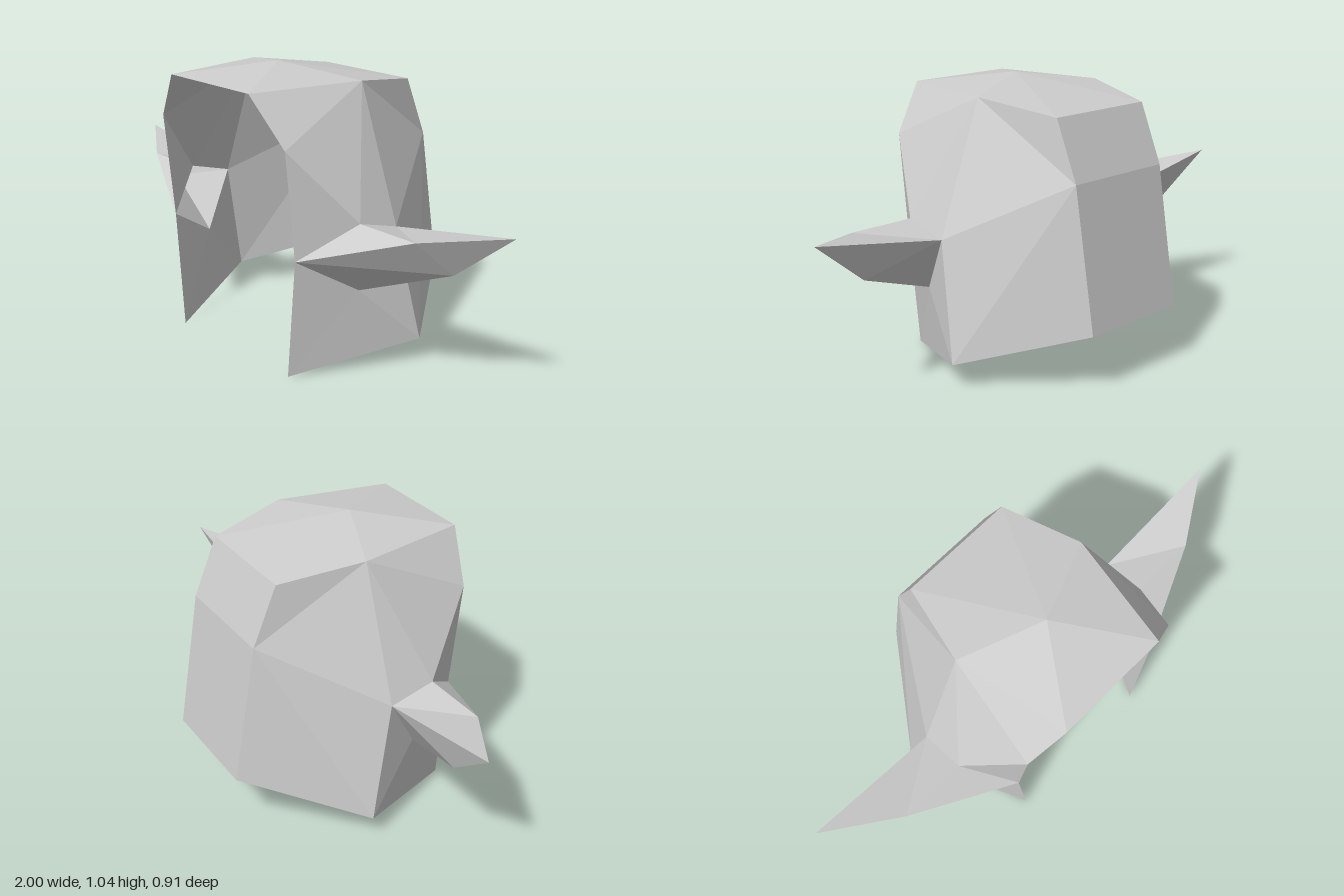
import * as THREE from 'three';

// Corner points of the left (+x) half
const P = {
  crown: [0, 1.045, 0.15],
  topFront: [0.22, 1.0, 0.455],
  topSide: [0.3, 1.0, 0.025],
  topBack: [0.22, 0.957, -0.28],
  back: [0.22, 0.74, -0.37],
  nape: [0.22, 0.22, -0.455],
  temple: [0.35, 0.825, 0.41],
  earTop: [0.48, 0.565, 0.195],
  earFront: [0.35, 0.435, 0.37],
  earBack: [0.48, 0.52, 0.025],
  earLow: [0.435, 0.305, 0.155],
  cheekFront: [0.31, 0, 0.37],
  cheekBack: [0.52, 0.09, -0.065],
  wingTop: [0.735, 0.565, 0.195],
  wingLow: [0.785, 0.437, 0.065],
  tip: [1, 0.61, 0.025],
};

// Builds flat triangles from named corners, each turned away from a centre;
// '-' before a name means the mirrored corner
function facets(faces, centre, side) {
  const c = new THREE.Vector3(...centre);
  c.x *= side;
  const pts = [];
  for (const face of faces) {
    const [a, b, d] = face.split(' ').map((n) => {
      const flip = n.startsWith('-');
      const [x, y, z] = P[flip ? n.slice(1) : n];
      return new THREE.Vector3(x * side * (flip ? -1 : 1), y, z);
    });
    const normal = b.clone().sub(a).cross(d.clone().sub(a));
    pts.push(...(normal.dot(a.clone().sub(c)) < 0 ? [a, d, b] : [a, b, d]));
  }
  const geo = new THREE.BufferGeometry().setFromPoints(pts);
  geo.computeVertexNormals();
  return geo;
}

const topFaces = [
  'topFront -topFront crown',
  'topBack -topBack crown',
  'topBack -topBack -back',
  'topBack -back back',
  'back -back -nape',
  'back -nape nape',
];

const sideFaces = [
  'topFront topSide crown',
  'topSide topBack crown',
  'topFront temple topSide',
  'temple earTop topSide',
  'topSide earTop earBack',
  'temple earFront earTop',
  'topSide topBack back',
  'topSide back earBack',
  'earBack back cheekBack',
  'back nape cheekBack',
  'earFront cheekFront earLow',
  'cheekFront cheekBack earLow',
  'cheekBack earBack earLow',
];

// The wing is hollow and open towards the inside of the shell
const wingFaces = [
  'earTop wingTop earFront',
  'earFront wingTop wingLow',
  'wingTop tip wingLow',
  'earTop earBack wingTop',
  'earBack tip wingTop',
  'earBack wingLow tip',
  'earBack earLow wingLow',
  'earFront wingLow earLow',
];

export function createModel() {
  const group = new THREE.Group();
  const grey = new THREE.MeshStandardMaterial({ color: 0xcccccc, flatShading: true, side: THREE.DoubleSide });
  grey.name = 'light grey';

  const add = (name, faces, centre, side) => {
    const mesh = new THREE.Mesh(facets(faces, centre, side), grey);
    mesh.name = name;
    group.add(mesh);
  };

  add('crownAndBack', topFaces, [0, 0.5, 0], 1);
  for (const [label, side] of [['left', 1], ['right', -1]]) {
    add(label + 'ShellSide', sideFaces, [0, 0.5, 0.1], side);
    add(label + 'EarWing', wingFaces, [0.55, 0.46, 0.15], side);
  }
  return group;
}
